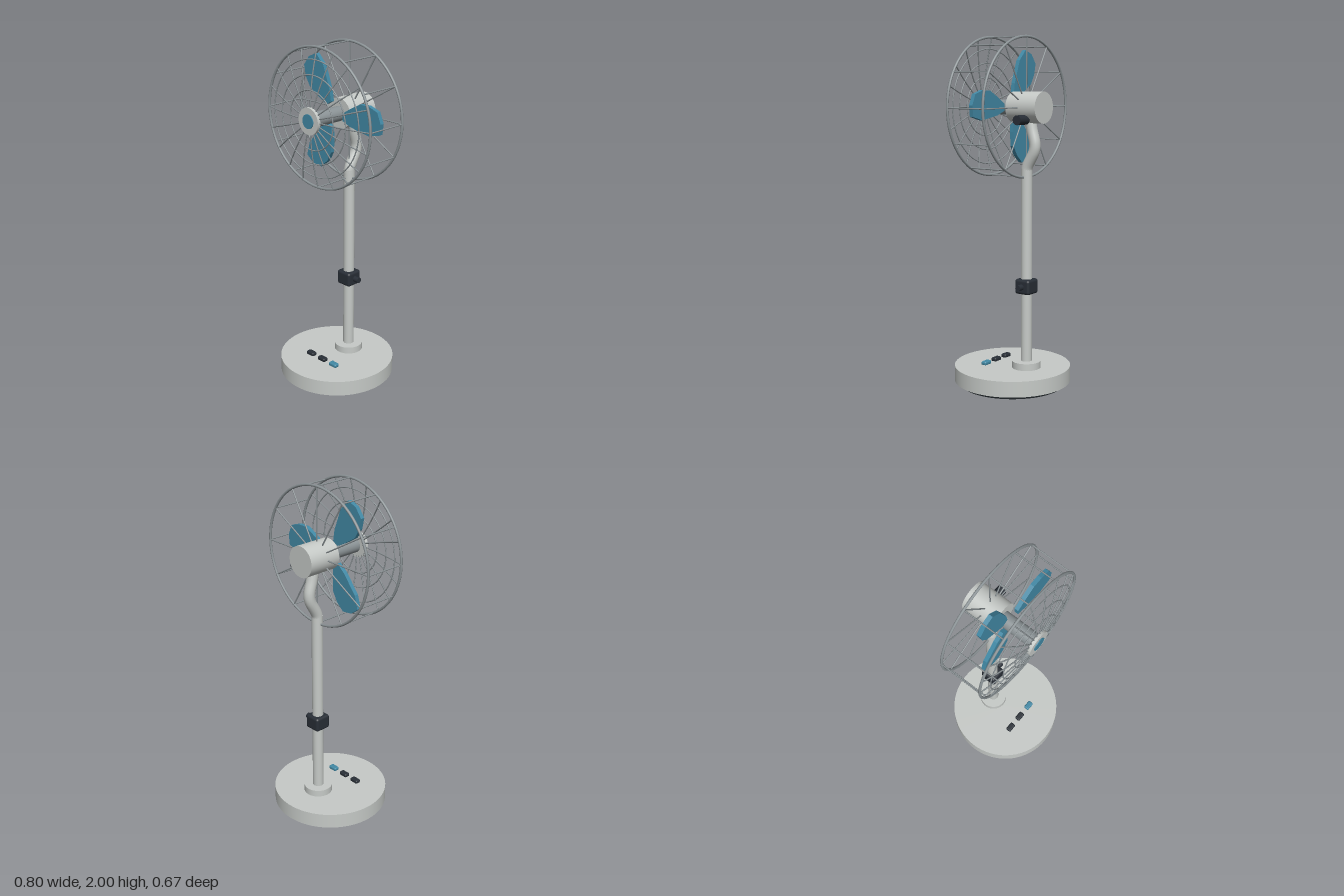
import * as THREE from 'three';
import { RoundedBoxGeometry } from 'three/addons/geometries/RoundedBoxGeometry.js';

const material = (name, color) => {
  const m = new THREE.MeshStandardMaterial({ color });
  m.name = name;
  return m;
};

export function createModel() {
  const shell = material('pale grey shell', 0xc6cac7);
  const steel = material('steel wire', 0x8b9396);
  const charcoal = material('charcoal plastic', 0x282e36);
  const rubber = material('black rubber', 0x1c2225);
  const blue = material('blue plastic', 0x4289a5);

  const model = new THREE.Group();
  model.name = 'pedestalFan';
  const V = (x, y, z) => new THREE.Vector3(x, y, z);

  function add(name, geometry, mat, x = 0, y = 0, z = 0, parent = model) {
    const mesh = new THREE.Mesh(geometry, mat);
    mesh.name = name;
    mesh.position.set(x, y, z);
    parent.add(mesh);
    return mesh;
  }
  const cylinder = (r, h, axis = 'y', sides = 48) => {
    const g = new THREE.CylinderGeometry(r, r, h, sides);
    if (axis === 'z') g.rotateX(Math.PI / 2);
    if (axis === 'x') g.rotateZ(Math.PI / 2);
    return g;
  };
  const wire = (points, r, steps = 1) =>
    new THREE.TubeGeometry(new THREE.CatmullRomCurve3(points), steps, r, 6);

  // Base, foot pad and pole
  const poleZ = -0.1;
  add('footPad', cylinder(0.305, 0.022, 'y', 64), rubber, 0, 0.011, 0);
  add('base', cylinder(0.337, 0.09, 'y', 64), shell, 0, 0.065, 0);
  add('poleCollar', cylinder(0.083, 0.04), shell, 0, 0.13, poleZ);
  add('pole', cylinder(0.032, 1.13, 'y', 24), shell, 0, 0.695, poleZ);

  // Speed buttons
  [charcoal, charcoal, blue].forEach((mat, i) =>
    add('button', new RoundedBoxGeometry(0.057, 0.024, 0.035, 3, 0.009), mat, (i - 1) * 0.095, 0.118, 0.12));

  // Height clamp with its screw knob
  add('heightClamp', new RoundedBoxGeometry(0.1, 0.086, 0.1, 3, 0.015), charcoal, 0, 0.588, poleZ);
  add('clampKnob', cylinder(0.017, 0.045, 'x', 20), charcoal, 0.062, 0.588, poleZ);

  // Bent neck up to the motor
  const neckCurve = new THREE.CatmullRomCurve3([
    V(0, 1.22, -0.1), V(0, 1.265, -0.102), V(0, 1.36, -0.151),
    V(0, 1.40, -0.156), V(0, 1.48, -0.136), V(0, 1.56, -0.12),
  ]);
  add('neck', new THREE.TubeGeometry(neckCurve, 24, 0.032, 16), shell);

  // Fan head, centred on the rotation axis
  const head = new THREE.Group();
  head.name = 'fanHead';
  head.position.y = 1.603;
  model.add(head);
  add('motorHousing', cylinder(0.088, 0.2, 'z'), shell, 0, 0, -0.116, head);
  add('tiltKnob', cylinder(0.027, 0.085, 'x', 24), charcoal, 0.1025, -0.066, -0.137, head);
  add('shaft', cylinder(0.042, 0.2, 'z', 32), steel, 0, 0, 0.085, head);
  add('guardHub', cylinder(0.075, 0.018, 'z'), shell, 0, 0, 0.207, head);
  add('hubBadge', cylinder(0.04, 0.006, 'z', 32), blue, 0, 0, 0.218, head);

  // Three flat blades
  const outline = [
    [0.07, -0.02], [0.13, -0.043], [0.265, -0.066], [0.343, -0.046], [0.351, 0.015],
    [0.325, 0.076], [0.262, 0.096], [0.2, 0.095], [0.13, 0.058], [0.07, 0.02],
  ].map(([x, y]) => new THREE.Vector2(x, y));
  const bladeGeometry = new THREE.ExtrudeGeometry(new THREE.Shape(outline), { depth: 0.024, bevelEnabled: false });
  for (let i = 0; i < 3; i++) {
    add('blade', bladeGeometry, blue, 0, 0, 0.004, head).rotation.z = (i * Math.PI * 2) / 3;
  }

  // Wire guard: rims, domed front rings, spokes and side struts
  const R = 0.39, frontZ = 0.147, backZ = -0.098;
  const domeZ = r => frontZ + 0.056 * (1 - (r / R) ** 2);
  const ring = (name, r, tube, z) =>
    add(name, new THREE.TorusGeometry(r, tube, 8, 64), steel, 0, 0, z, head);
  ring('frontRim', R, 0.0075, frontZ);
  ring('backRim', R, 0.0075, backZ);
  for (const r of [0.165, 0.245, 0.325]) ring('guardRing', r, 0.0035, domeZ(r));

  const frontSpoke = wire([0.06, 0.17, 0.28, R].map(r => V(r, 0, domeZ(r))), 0.0038, 8);
  for (let i = 0; i < 20; i++) {
    add('frontSpoke', frontSpoke, steel, 0, 0, 0, head).rotation.z = (i * Math.PI) / 10;
  }
  const strut = wire([V(R, 0, backZ), V(R, 0, frontZ)], 0.004);
  const backSpoke = wire([V(0.08, 0, backZ), V(R, 0, backZ)], 0.004);
  for (let i = 0; i < 12; i++) {
    add('sideStrut', strut, steel, 0, 0, 0, head).rotation.z = (i * Math.PI) / 6;
    add('backSpoke', backSpoke, steel, 0, 0, 0, head).rotation.z = (i * Math.PI) / 6;
  }

  return model;
}
